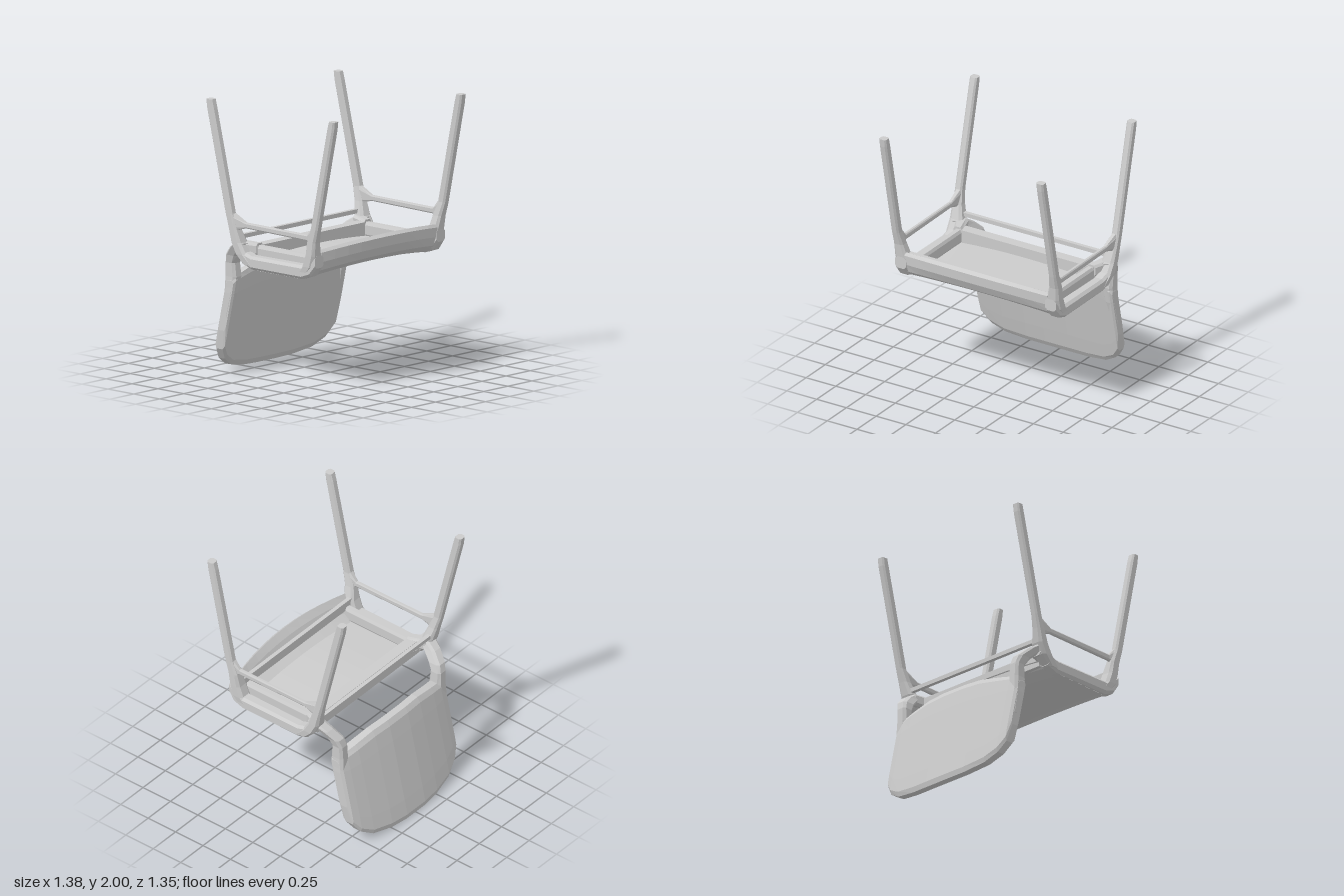
import * as THREE from 'three';

const material = new THREE.MeshStandardMaterial({ color: 0xcccccc, flatShading: true });

// Skins a list of equal-length closed rings of [x, y, z] points and caps both ends.
function loft(name, rings) {
  const n = rings[0].length, pos = [], idx = [];
  rings.forEach(r => r.forEach(p => pos.push(...p)));
  for (let i = 0; i < rings.length - 1; i++) {
    for (let j = 0; j < n; j++) {
      const a = i * n + j, b = i * n + (j + 1) % n;
      idx.push(a, b, a + n, b, b + n, a + n);
    }
  }
  // caps are triangulated in the plane of the ring
  for (const end of [0, rings.length - 1]) {
    const ring = rings[end];
    const span = k => Math.max(...ring.map(p => p[k])) - Math.min(...ring.map(p => p[k]));
    const spans = [span(0), span(1), span(2)];
    const drop = spans.indexOf(Math.min(...spans));
    const u = (drop + 1) % 3, v = (drop + 2) % 3;
    const flat = ring.map(p => new THREE.Vector2(p[u], p[v]));
    const ringCw = THREE.ShapeUtils.isClockWise(flat);
    for (const f of THREE.ShapeUtils.triangulateShape(flat, [])) {
      const cw = THREE.ShapeUtils.isClockWise(f.map(k => flat[k]));
      const t = f.map(k => k + end * n);
      // follow the ring's winding on the far cap, oppose it on the near one
      if ((cw === ringCw) !== (end > 0)) t.reverse();
      idx.push(...t);
    }
  }
  // turn the faces outward if the enclosed volume is negative
  const P = k => new THREE.Vector3().fromArray(pos, k * 3);
  let volume = 0;
  for (let i = 0; i < idx.length; i += 3) volume += P(idx[i]).dot(P(idx[i + 1]).cross(P(idx[i + 2])));
  if (volume < 0) idx.reverse();
  const g = new THREE.BufferGeometry();
  g.setAttribute('position', new THREE.Float32BufferAttribute(pos, 3));
  g.setIndex(idx);
  const flatGeometry = g.toNonIndexed();
  flatGeometry.computeVertexNormals();
  const mesh = new THREE.Mesh(flatGeometry, material);
  mesh.name = name;
  return mesh;
}

// Chamfered rectangle, half sizes a and b
const octagon = (a, b, c = 0.6) => [[1, -c], [1, c], [c, 1], [-c, 1], [-1, c], [-1, -c], [-c, -1], [c, -1]]
  .map(([u, v]) => [u * a, v * b]);

// Upright member: stations [x, y, z, halfX, halfZ], s mirrors it
const upright = (name, s, stations) => loft(name, stations.map(([x, y, z, a, b]) =>
  octagon(a, b).map(([u, v]) => [s * (x + u), y, z + v])));

// Member running front to back: stations [x, y, z, halfX, halfY]
const sideBar = (name, s, stations) => loft(name, stations.map(([x, y, z, a, b]) =>
  octagon(a, b).map(([u, v]) => [s * (x + u), y + v, z])));

// Straight bar across the width
function crossBar(name, length, height, depth, y, z) {
  const mesh = new THREE.Mesh(new THREE.BoxGeometry(length, height, depth), material);
  mesh.name = name;
  mesh.position.set(0, y, z);
  return mesh;
}

// Saddle-shaped seat pan with a full, curled front lip
function seatPan() {
  const profile = [[-0.24, 0.9], [-0.2, 0.85], [-0.1, 0.82], [0.34, 0.818], [0.43, 0.84], [0.5, 0.885],
    [0.535, 0.95], [0.54, 1.02], [0.515, 1.04], [0.475, 0.99], [0.44, 0.92], [0.36, 0.87], [-0.18, 0.87]];
  const rings = [];
  for (let i = 0; i <= 10; i++) {
    const u = i / 5 - 1;
    rings.push(profile.map(([z, y]) => {
      const front = THREE.MathUtils.clamp((z - 0.3) / 0.24, 0, 1);
      return [u * (0.66 - 0.06 * front), y + 0.035 * (1 - u * u), z - 0.065 * u * u * front];
    }));
  }
  return loft('seatPan', rings);
}

// Curved back panel: stations [x, lower edge, upper edge, half thickness]
function backPanel() {
  const half = [[0.592, 0.32, 0.69, 0.035], [0.575, 0.18, 0.72, 0.048], [0.52, 0.1, 0.735, 0.05],
    [0.42, 0.04, 0.755, 0.048], [0.25, 0.008, 0.785, 0.045], [0.1, 0, 0.79, 0.045]];
  const stations = [...half.map(([x, ...r]) => [-x, ...r]), ...half.slice().reverse()];
  const section = [[0, 0.6], [0.05, 0.95], [0.2, 1], [0.5, 1], [0.8, 1], [0.95, 0.95], [1, 0.6]];
  const loop = [...section, ...section.slice().reverse().map(([v, t]) => [v, -t])];
  return loft('backPanel', stations.map(([x, lo, hi, t]) => loop.map(([v, k]) => {
    const y = lo + (hi - lo) * v;
    return [x, y, -0.645 + 0.225 * y + 0.075 * (x / 0.59) ** 2 + k * t];
  })));
}

export function createModel() {
  const chair = new THREE.Group();
  chair.name = 'upturnedChair';
  chair.add(seatPan(), backPanel());

  // Rails and stretchers across the width
  chair.add(
    crossBar('backSeatRail', 1.16, 0.11, 0.08, 0.925, -0.195),
    crossBar('frontSeatRail', 1.2, 0.07, 0.03, 0.99, 0.415),
    crossBar('backStretcher', 1.24, 0.03, 0.03, 1.03, -0.305));

  for (const s of [1, -1]) {
    const side = s > 0 ? 'left' : 'right';
    // Legs point up and thicken into the seat corners
    chair.add(
      upright(side + 'FrontLeg', s, [
        [0.66, 2, 0.648, 0.03, 0.028], [0.66, 1.94, 0.636, 0.03, 0.033], [0.66, 1.2, 0.478, 0.03, 0.034],
        [0.652, 1.1, 0.446, 0.038, 0.04], [0.637, 1.0, 0.43, 0.052, 0.045],
        [0.635, 0.92, 0.405, 0.053, 0.05], [0.635, 0.85, 0.35, 0.045, 0.05]]),
      upright(side + 'BackLeg', s, [
        [0.66, 2, -0.537, 0.03, 0.028], [0.66, 1.94, -0.525, 0.03, 0.033], [0.66, 1.2, -0.345, 0.03, 0.033],
        [0.652, 1.1, -0.315, 0.038, 0.037], [0.637, 1.0, -0.285, 0.052, 0.045],
        [0.635, 0.92, -0.24, 0.053, 0.05], [0.635, 0.85, -0.17, 0.045, 0.05]]));

    // Side stretcher flared at both legs
    chair.add(sideBar(side + 'Stretcher', s, [
      [0.655, 1.14, 0.45, 0.025, 0.07], [0.652, 1.125, 0.395, 0.014, 0.022],
      [0.652, 1.13, -0.2, 0.014, 0.02], [0.655, 1.14, -0.33, 0.025, 0.07]]));

    // Outer rail rising into the front corner, inner rail, and rear corner gusset
    chair.add(
      sideBar(side + 'OuterRail', s, [
        [0.63, 0.96, 0.48, 0.045, 0.045], [0.633, 0.9, 0.43, 0.05, 0.05], [0.635, 0.872, 0.35, 0.048, 0.05],
        [0.635, 0.87, -0.14, 0.045, 0.048], [0.635, 0.9, -0.23, 0.045, 0.045]]),
      sideBar(side + 'InnerRail', s, [[0.555, 0.925, 0.42, 0.028, 0.055], [0.555, 0.925, -0.23, 0.028, 0.055]]),
      sideBar(side + 'CornerGusset', s, [[0.56, 0.95, -0.16, 0.035, 0.045], [0.61, 0.96, -0.3, 0.05, 0.045]]));

    // Bent arm from the seat corner down along the back panel
    chair.add(upright(side + 'BackPost', s, [
      [0.62, 0.995, -0.265, 0.05, 0.045], [0.6, 0.95, -0.325, 0.047, 0.057], [0.565, 0.88, -0.4, 0.045, 0.055],
      [0.55, 0.82, -0.428, 0.043, 0.045], [0.547, 0.72, -0.425, 0.043, 0.052], [0.557, 0.6, -0.437, 0.036, 0.045],
      [0.572, 0.42, -0.477, 0.022, 0.035]]));
  }
  return chair;
}
